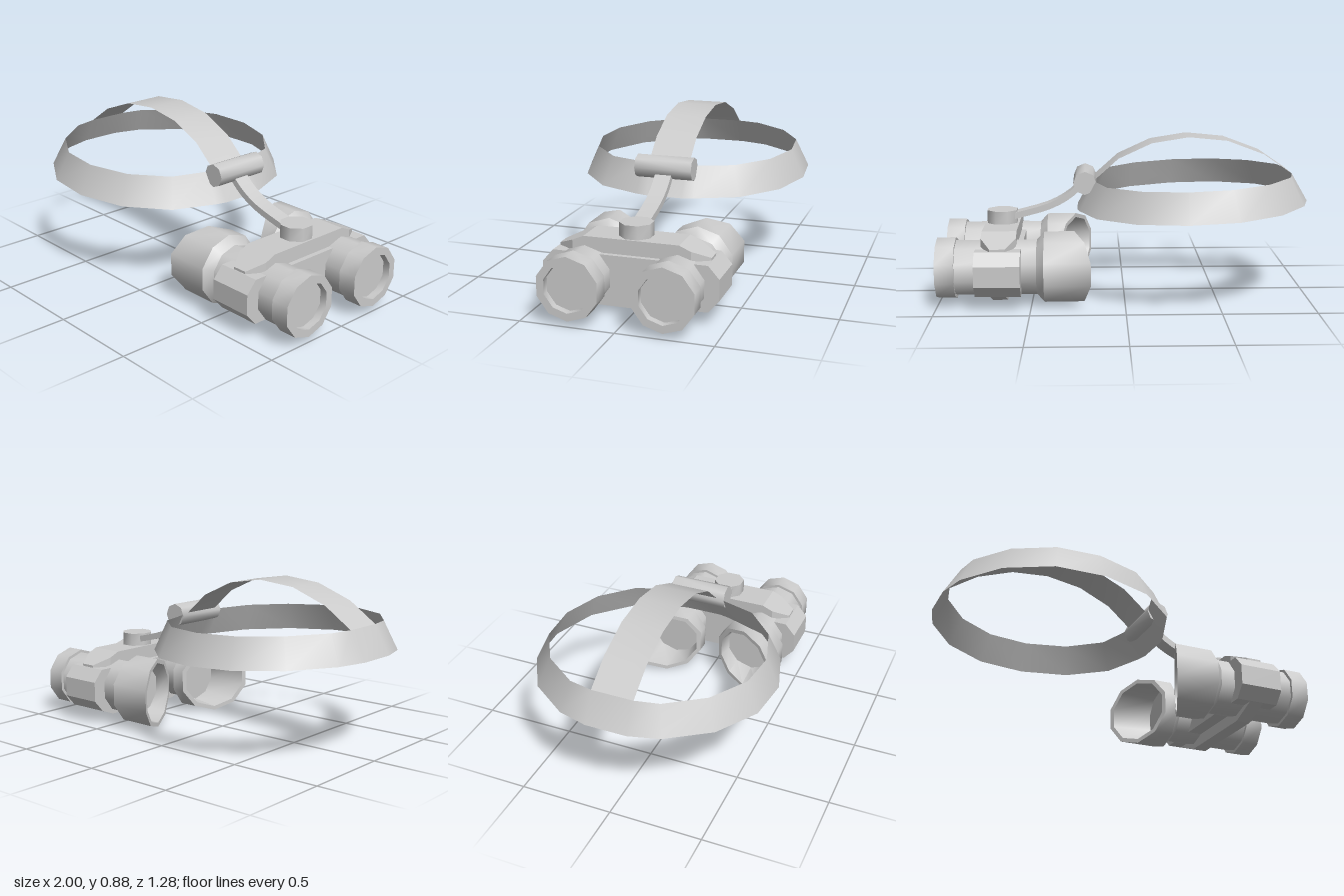
import * as THREE from 'three';
import { toCreasedNormals } from 'three/addons/utils/BufferGeometryUtils.js';
import { ConvexGeometry } from 'three/addons/geometries/ConvexGeometry.js';

const solid = new THREE.MeshStandardMaterial({ color: 0xcccccc });
const thin = new THREE.MeshStandardMaterial({ color: 0xcccccc, side: THREE.DoubleSide });

function part(group, name, geometry, material = solid) {
  const mesh = new THREE.Mesh(geometry, material);
  mesh.name = name;
  group.add(mesh);
  return mesh;
}

// Thin surface between two rows of points
function ribbon(rowA, rowB, closed) {
  const n = rowA.length, index = [];
  for (let i = 0; i < (closed ? n : n - 1); i++) {
    const j = (i + 1) % n;
    index.push(i, j, n + j, i, n + j, n + i);
  }
  const g = new THREE.BufferGeometry();
  g.setAttribute('position', new THREE.Float32BufferAttribute([...rowA, ...rowB].flat(), 3));
  g.setIndex(index);
  g.computeVertexNormals();
  return g;
}

// Outline in (z, y), extruded along x and centred on x = cx
function crossPlate(points, width, cx) {
  const shape = new THREE.Shape(points.map(([z, y]) => new THREE.Vector2(z, y)));
  const g = new THREE.ExtrudeGeometry(shape, { depth: width, bevelEnabled: false });
  return g.translate(0, 0, -width / 2).rotateY(Math.PI / 2).translate(cx, 0, 0);
}

// Ten-sided optical tube along x with a hollow eyecup cut at a slant
function opticalTube(side) {
  const profile = [
    [0, 0.42], [0.15, 0.42], [0.172, 0.27], [0.195, 0.27], [0.195, 0.43], [0.15, 0.47],
    [0.15, 0.9], [0.166, 0.9], [0.166, 1], [0.125, 1], [0.125, 0.96], [0, 0.96],
  ].map(([r, x]) => new THREE.Vector2(r, x));
  const g = new THREE.LatheGeometry(profile, 10, Math.PI / 2).rotateZ(-Math.PI / 2);
  const p = g.attributes.position;
  for (let i = 0; i < p.count; i++) {
    if (Math.abs(p.getX(i) - 0.27) < 0.01) p.setX(i, 0.27 - 0.47 * side * p.getZ(i));
  }
  return toCreasedNormals(g, 0.68).translate(0, 0.2, side * 0.244);
}

export function createModel() {
  const model = new THREE.Group();
  model.name = 'headMountedBinocular';

  // Tapered headband, half outline mirrored in z
  const mirrored = (half) => [...half, ...half.slice().reverse().map(([x, z]) => [x, -z])];
  const lower = mirrored([[-1, 0.11], [-0.955, 0.27], [-0.8, 0.485], [-0.57, 0.62], [-0.31, 0.642],
    [-0.05, 0.565], [0.15, 0.39], [0.24, 0.16], [0.255, 0.1]]);
  const upper = mirrored([[-0.913, 0.11], [-0.885, 0.24], [-0.745, 0.43], [-0.54, 0.55], [-0.31, 0.57],
    [-0.08, 0.5], [0.095, 0.345], [0.157, 0.15], [0.165, 0.1]]);
  part(model, 'headband', ribbon(
    lower.map(([x, z]) => [x, 0.494 - 0.036 * x, z]),
    upper.map(([x, z]) => [x, 0.65 - 0.033 * x, z]), true), thin);

  // Strap over the crown
  const crown = [[-0.913, 0.68], [-0.76, 0.785], [-0.56, 0.86], [-0.35, 0.88],
    [-0.15, 0.848], [0.03, 0.765], [0.165, 0.645]];
  part(model, 'crownStrap', ribbon(
    crown.map(([x, y]) => [x, y, 0.113]), crown.map(([x, y]) => [x, y, -0.113]), false), thin);

  // Hinge roll on the front of the band
  const hinge = new THREE.CylinderGeometry(0.063, 0.063, 0.315, 8).rotateX(Math.PI / 2);
  part(model, 'hinge', toCreasedNormals(hinge, 0.9)).position.set(0.213, 0.638, 0);

  // Curved arm from hinge to pivot
  const curve = new THREE.SplineCurve([[0.23, 0.615], [0.31, 0.545], [0.43, 0.485], [0.62, 0.435]]
    .map(([x, y]) => new THREE.Vector2(x, y)));
  const edge = (offset) => curve.getPoints(8).map((p, i) => {
    const t = curve.getTangent(i / 8);
    return new THREE.Vector2(p.x - t.y * offset, p.y + t.x * offset);
  });
  const armShape = new THREE.Shape([...edge(-0.017), ...edge(0.017).reverse()]);
  const arm = new THREE.ExtrudeGeometry(armShape, { depth: 0.09, bevelEnabled: false });
  part(model, 'arm', toCreasedNormals(arm, 0.6)).position.z = -0.045;

  // Pivot knob
  const knob = new THREE.CylinderGeometry(0.088, 0.088, 0.09, 8).rotateY(Math.PI / 8);
  part(model, 'pivotKnob', toCreasedNormals(knob, 0.9)).position.set(0.67, 0.425, 0);

  // Housing joining both tubes
  part(model, 'housing', crossPlate([[-0.462, 0.145], [-0.405, 0.08], [0.405, 0.08], [0.462, 0.145],
    [0.462, 0.255], [0.405, 0.32], [-0.405, 0.32], [-0.462, 0.255]], 0.24, 0.67));

  // Narrow rib under the housing
  part(model, 'lowerRib', crossPlate([[-0.4, 0.08], [-0.25, 0.02], [0.25, 0.02], [0.4, 0.08],
    [0.4, 0.2], [-0.4, 0.2]], 0.08, 0.67));

  // Wide bridge on top with tapering ends
  const bridge = [];
  for (const sx of [-1, 1]) for (const sz of [-1, 1]) {
    for (const [x, y, z] of [[0.093, 0.398, 0.25], [0.093, 0.372, 0.31], [0.04, 0.333, 0.4],
      [0.093, 0.2, 0.31], [0.04, 0.2, 0.4]]) {
      bridge.push(new THREE.Vector3(0.67 + sx * x, y, sz * z));
    }
  }
  part(model, 'upperBridge', new ConvexGeometry(bridge));

  // Pair of tubes
  part(model, 'leftTube', opticalTube(1));
  part(model, 'rightTube', opticalTube(-1));

  return model;
}
